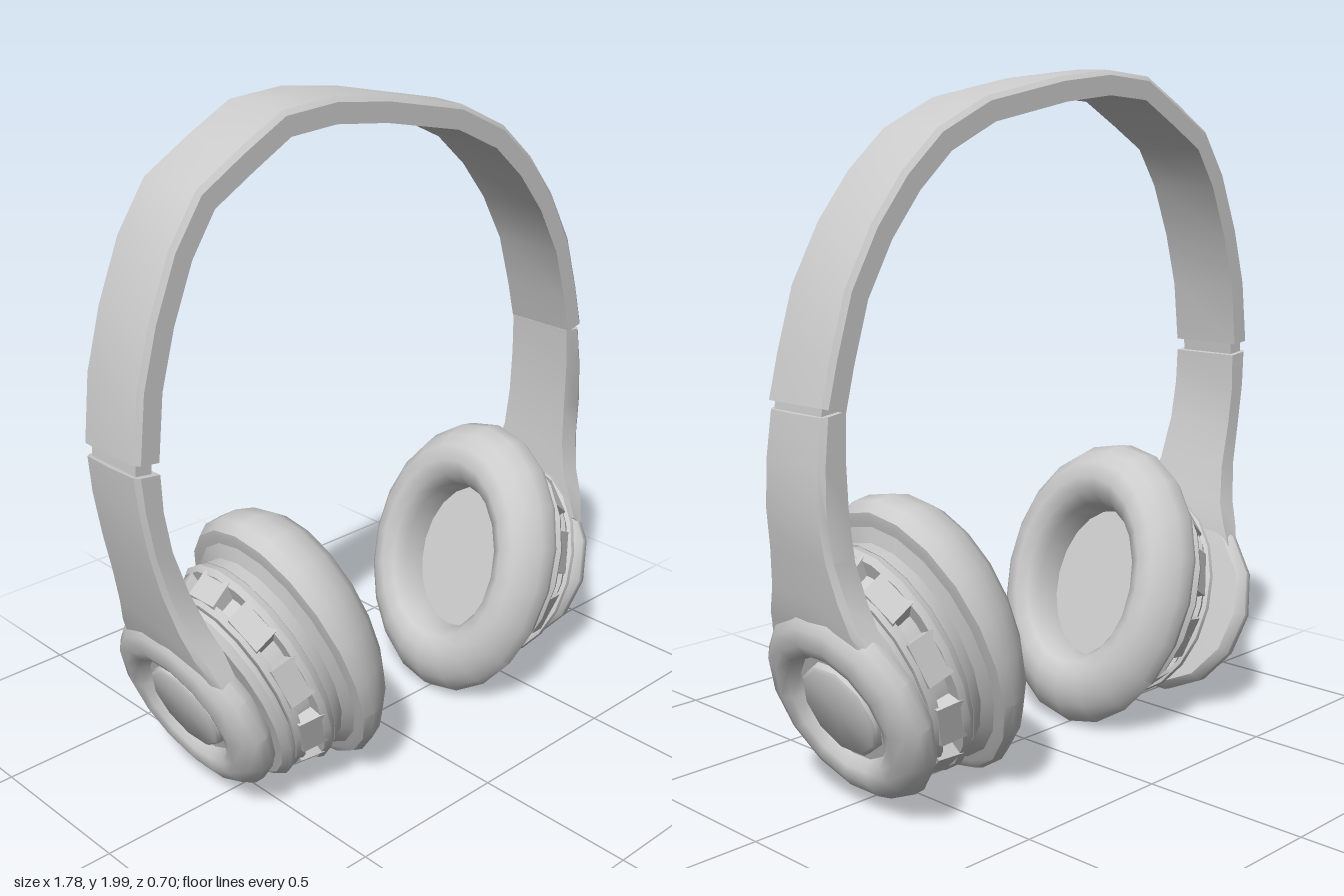
import * as THREE from 'three';
import { toCreasedNormals } from 'three/addons/utils/BufferGeometryUtils.js';

const grey = new THREE.MeshStandardMaterial({ color: 0xcccccc });
const BAND_Z = -0.037;

function add(parent, name, geometry, crease = 0.65) {
  const mesh = new THREE.Mesh(toCreasedNormals(geometry, crease), grey);
  mesh.name = name;
  parent.add(mesh);
  return mesh;
}

// Profile points are [radius, height], listed from the bottom to the top
function lathe(profile, sides = 20) {
  return new THREE.LatheGeometry(profile.map(p => new THREE.Vector2(...p)), sides);
}

// Strap through sections [outerX, outerY, innerX, innerY, halfWidth], bevelled on the outside.
// Sections run clockwise as seen from the front.
function strap(sections) {
  const outline = [[0, -1], [0.75, -1], [0.94, -0.9], [1, 0], [0.94, 0.9], [0.75, 1], [0, 1]];
  const n = outline.length, pos = [], idx = [];
  for (const [ox, oy, ix, iy, w] of sections) {
    for (const [t, z] of outline) pos.push(ix + (ox - ix) * t, iy + (oy - iy) * t, BAND_Z + z * w);
  }
  for (let i = 0; i < sections.length - 1; i++) {
    for (let j = 0; j < n; j++) {
      const a = i * n + j, b = i * n + (j + 1) % n;
      idx.push(a, b, a + n, b, b + n, a + n);
    }
  }
  const last = (sections.length - 1) * n;
  for (let j = 1; j < n - 1; j++) idx.push(0, j + 1, j, last, last + j, last + j + 1);
  const g = new THREE.BufferGeometry();
  g.setAttribute('position', new THREE.Float32BufferAttribute(pos, 3));
  g.setIndex(idx);
  return g;
}

// Solid wall piece between two windows: the wall's cross-section extruded along the rim
function pillar(width) {
  const shape = new THREE.Shape([[0.29, -0.165], [0.325, -0.165], [0.355, -0.09], [0.29, -0.09]]
    .map(p => new THREE.Vector2(...p)));
  return new THREE.ExtrudeGeometry(shape, { depth: width, bevelEnabled: false }).translate(0, 0, -width / 2);
}

// Ear cup: local y points inward along the cup axis, local x runs up or down the cup
function earCup(side, x, y, tilt) {
  const cup = new THREE.Group();
  cup.name = side < 0 ? 'rightEarCup' : 'leftEarCup';
  cup.position.set(x, y, 0);
  cup.rotation.z = side * (Math.PI / 2 - tilt);

  // Oval half: cushion, backing plate and windowed housing
  const oval = new THREE.Group();
  oval.name = 'ovalHousing';
  oval.scale.z = 0.785;
  cup.add(oval);

  const cushion = lathe([[0, 0], [0.4, 0], [0.425, 0.005], [0.442, 0.035], [0.432, 0.08], [0.4, 0.125], [0.36, 0.155],
    [0.31, 0.165], [0.265, 0.148], [0.238, 0.11], [0.23, 0.03], [0, 0.03]]);
  const p = cushion.attributes.position;
  for (let i = 0; i < p.count; i++) p.setY(i, p.getY(i) * (1 + side * p.getX(i) * 0.5)); // thicker at the top
  add(oval, 'cushion', cushion, 0.8);

  add(oval, 'backingPlate', lathe([[0, -0.06], [0.36, -0.06], [0.345, -0.02], [0.385, 0.001], [0, 0.001]]));
  add(oval, 'housingCore', lathe([[0, -0.175], [0.295, -0.175], [0.32, -0.06], [0, -0.06]]));
  add(oval, 'housingInnerRim', lathe([[0.28, -0.1], [0.358, -0.1], [0.37, -0.082], [0.355, -0.055], [0.28, -0.055]]));
  add(oval, 'housingOuterRim', lathe([[0.27, -0.178], [0.315, -0.178], [0.33, -0.155], [0.28, -0.155]]));

  const windows = 10;
  for (let i = 0; i < windows; i++) {
    add(oval, 'windowPillar', pillar(0.135)).rotation.y = i * Math.PI * 2 / windows;
  }
  add(oval, 'spacerRing', lathe([[0, -0.225], [0.3, -0.225], [0.325, -0.205], [0.325, -0.19], [0.3, -0.177], [0, -0.177]]));

  // Round outer disc with a recessed centre
  const disc = new THREE.Group();
  disc.name = 'outerDisc';
  disc.position.set(side * 0.008, 0, -0.05);
  cup.add(disc);
  add(disc, 'discRing', lathe([[0, -0.3], [0.165, -0.3], [0.185, -0.332], [0.22, -0.342], [0.265, -0.327],
    [0.294, -0.297], [0.3, -0.268], [0.28, -0.237], [0, -0.225]], 14), 0.8);
  add(disc, 'centreCap', lathe([[0, -0.325], [0.13, -0.325], [0.14, -0.318], [0.145, -0.295]], 10));
  return cup;
}

export function createModel() {
  const model = new THREE.Group();
  model.name = 'headphones';

  // Headband, inner side offset from the outer curve
  const outer = [[-0.892, 1.16], [-0.87, 1.35], [-0.822, 1.52], [-0.752, 1.69], [-0.66, 1.825], [-0.52, 1.908],
    [-0.375, 1.985], [-0.195, 1.998], [0, 1.975], [0.29, 1.915], [0.47, 1.83], [0.595, 1.72], [0.7, 1.59],
    [0.79, 1.43], [0.842, 1.26], [0.872, 1.14]];
  const band = outer.map(([x, y], i) => {
    const a = outer[Math.max(i - 1, 0)], b = outer[Math.min(i + 1, outer.length - 1)];
    const dx = b[0] - a[0], dy = b[1] - a[1], k = 0.076 / Math.hypot(dx, dy);
    return [x, y, x + dy * k, y - dx * k, 0.117];
  });
  add(model, 'headband', strap(band));

  // Arms, widening into the outer discs
  add(model, 'rightArm', strap([[-0.732, 0.47, -0.678, 0.515, 0.215], [-0.775, 0.57, -0.69, 0.585, 0.182],
    [-0.8, 0.65, -0.712, 0.65, 0.15], [-0.832, 0.77, -0.75, 0.76, 0.125], [-0.86, 0.89, -0.79, 0.89, 0.117],
    [-0.882, 1.02, -0.81, 1.01, 0.115], [-0.892, 1.125, -0.812, 1.115, 0.112]]), 0.6);
  add(model, 'leftArm', strap([[0.87, 1.115, 0.795, 1.125, 0.112], [0.887, 0.99, 0.8, 1.0, 0.115],
    [0.892, 0.86, 0.795, 0.86, 0.117], [0.877, 0.75, 0.785, 0.74, 0.125], [0.857, 0.64, 0.77, 0.64, 0.15],
    [0.842, 0.56, 0.765, 0.575, 0.182], [0.806, 0.466, 0.753, 0.51, 0.215]]), 0.6);

  // Hinge necks in the gaps between band and arms
  for (const [x, y, turn] of [[-0.85, 1.14, -0.08], [0.832, 1.132, 0.1]]) {
    const neck = add(model, 'hingeNeck', new THREE.BoxGeometry(0.05, 0.05, 0.19));
    neck.position.set(x, y, BAND_Z);
    neck.rotation.z = turn;
  }

  model.add(earCup(-1, -0.38, 0.414, 0.35), earCup(1, 0.455, 0.41, 0.36));
  return model;
}
